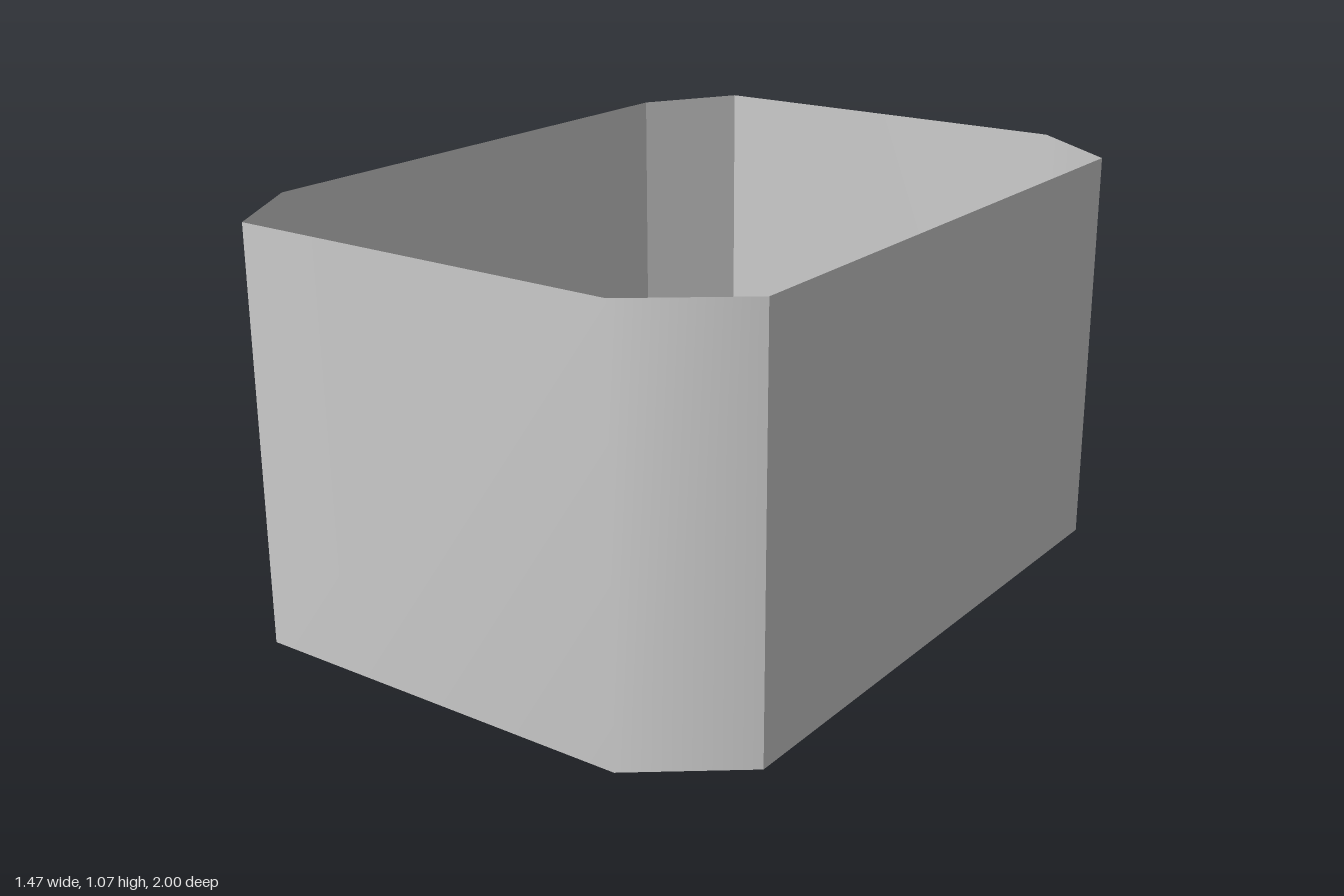
import * as THREE from 'three';

const HEIGHT = 1.074;

// Upright wall of zero thickness through [x, z] points; bends inside one strip are smooth
function wall(name, points, material) {
  const positions = [];
  const index = [];
  points.forEach(([x, z], i) => {
    positions.push(x, 0, z, x, HEIGHT, z);
    if (i > 0) {
      const a = 2 * (i - 1);
      index.push(a, a + 2, a + 3, a, a + 3, a + 1);
    }
  });
  const geometry = new THREE.BufferGeometry();
  geometry.setAttribute('position', new THREE.Float32BufferAttribute(positions, 3));
  geometry.setIndex(index);
  geometry.computeVertexNormals();
  const mesh = new THREE.Mesh(geometry, material);
  mesh.name = name;
  return mesh;
}

export function createModel() {
  const group = new THREE.Group();
  group.name = 'openEightSidedSleeve';
  const material = new THREE.MeshStandardMaterial({ color: 0xcccccc, side: THREE.DoubleSide });

  // Corners of the outline: right chamfers are steeper than left ones
  const X = 0.737;
  const rightX = -0.586, rightZ = 0.74;
  const leftX = 0.48, leftZ = 0.8;

  // Front and back walls flow smoothly into the left chamfers
  group.add(wall('frontWall', [[rightX, 1], [leftX, 1], [X, leftZ]], material));
  group.add(wall('leftWall', [[X, leftZ], [X, -leftZ]], material));
  group.add(wall('backWall', [[X, -leftZ], [leftX, -1], [rightX, -1]], material));

  // Right side: flat panels with sharp edges
  group.add(wall('backRightChamfer', [[rightX, -1], [-X, -rightZ]], material));
  group.add(wall('rightWall', [[-X, -rightZ], [-X, rightZ]], material));
  group.add(wall('frontRightChamfer', [[-X, rightZ], [rightX, 1]], material));
  return group;
}
